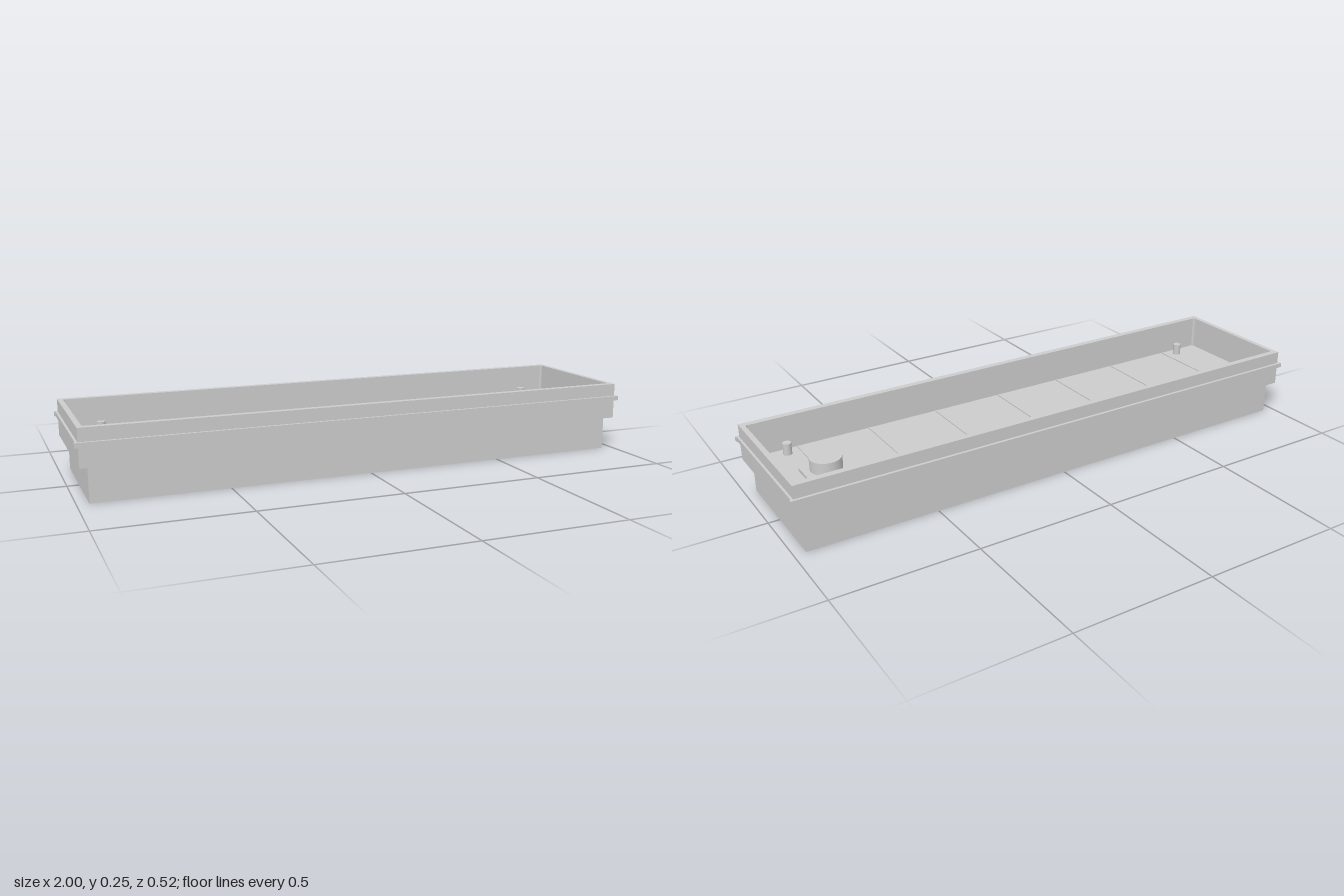
import * as THREE from 'three';

const material = new THREE.MeshStandardMaterial({ color: 0xcccccc });

export function createModel() {
  const model = new THREE.Group();

  const add = (name, geometry, x, y, z) => {
    const mesh = new THREE.Mesh(geometry, material);
    mesh.name = name;
    mesh.position.set(x, y, z);
    model.add(mesh);
    return mesh;
  };
  // Box placed by its centre in plan and its bottom and top heights
  const box = (name, w, d, y0, y1, x = 0, z = 0) =>
    add(name, new THREE.BoxGeometry(w, y1 - y0, d), x, (y0 + y1) / 2, z);
  const post = (name, r, y0, y1, x, z, sides) =>
    add(name, new THREE.CylinderGeometry(r, r, y1 - y0, sides), x, (y0 + y1) / 2, z);

  const floorY = 0.128, ledgeY = 0.12, rimY = 0.249;

  // Narrower plinth and the tray floor on top of it
  box('base', 1.92, 0.456, 0, ledgeY);
  box('trayFloor', 1.95, 0.46, ledgeY, floorY);

  // Tray wall: rectangular ring with slightly rounded inner corners
  const W = 0.988, D = 0.248, w = 0.97, d = 0.225, r = 0.008;
  const ring = new THREE.Shape([[-W, -D], [W, -D], [W, D], [-W, D]].map(p => new THREE.Vector2(...p)));
  const hole = new THREE.Path();
  hole.absarc(w - r, d - r, r, 0, Math.PI / 2);
  hole.absarc(-w + r, d - r, r, Math.PI / 2, Math.PI);
  hole.absarc(-w + r, -d + r, r, Math.PI, Math.PI * 1.5);
  hole.absarc(w - r, -d + r, r, Math.PI * 1.5, Math.PI * 2);
  hole.closePath();
  ring.holes.push(hole);
  const wall = new THREE.ExtrudeGeometry(ring, { depth: rimY - ledgeY, bevelEnabled: false, curveSegments: 4 });
  wall.rotateX(-Math.PI / 2);
  add('trayWall', wall, 0, ledgeY, 0);

  // Trim rails around the outside, the long ones overlapping the ends
  for (const s of [-1, 1]) {
    box('longRail', 2, 0.012, 0.188, 0.204, 0, s * 0.252);
    box('endRail', 0.012, 0.496, 0.188, 0.204, s * 0.99, 0);
  }

  // Low ribs across the floor
  for (let i = -3; i <= 3; i++) {
    box('floorRib', 0.008, 0.44, floorY - 0.002, floorY + 0.004, i * 0.267);
  }

  // Corner pegs
  for (const x of [-0.85, 0.85])
    for (const z of [-0.187, 0.187]) post('cornerPeg', 0.015, floorY, 0.17, x, z, 20);

  // Round knob on its mounting plate
  box('knobPlate', 0.155, 0.102, floorY, 0.14, 0.787);
  post('knob', 0.054, 0.14, 0.183, 0.787, 0, 40);

  return model;
}
